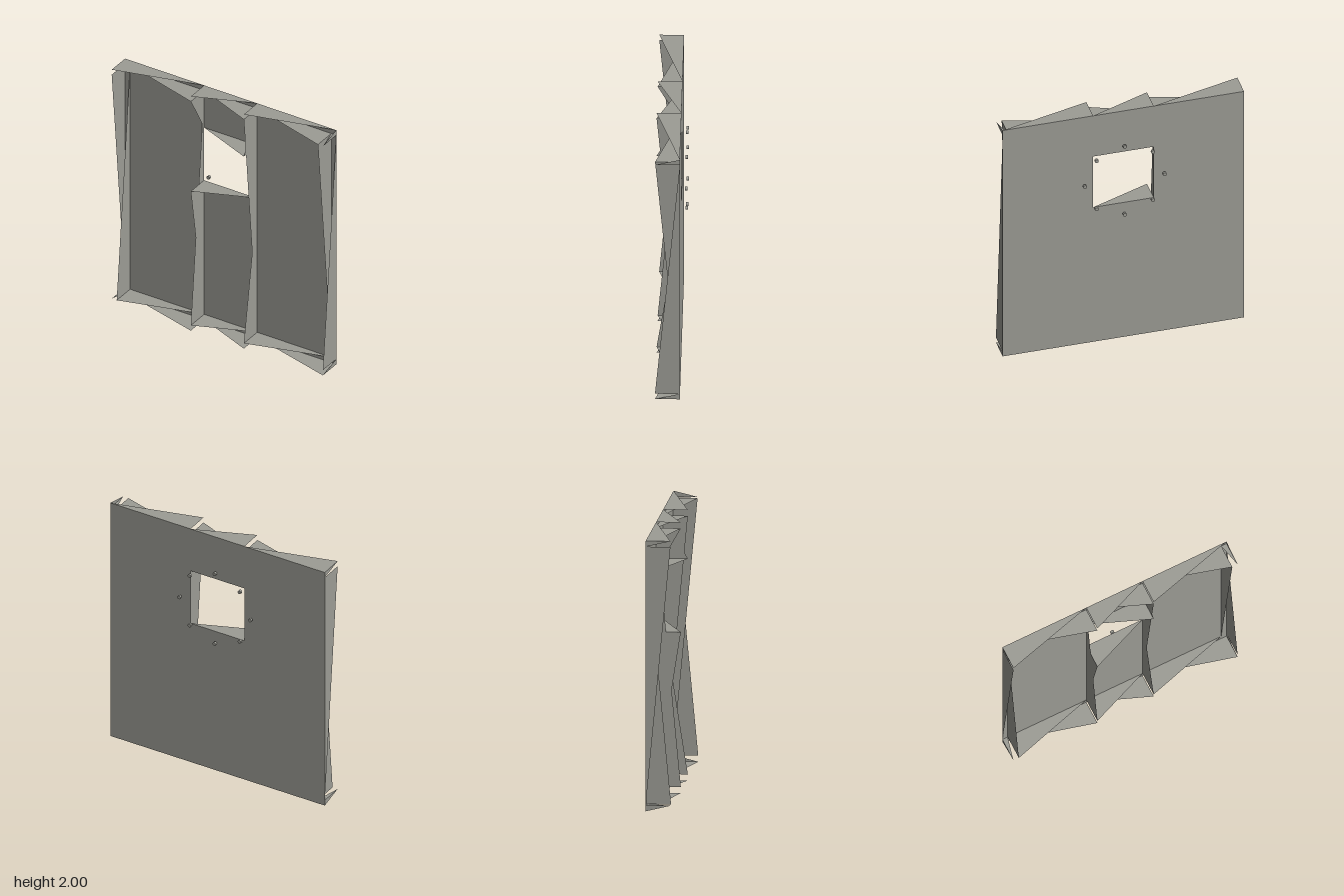
import * as THREE from 'three';

const BACK = -0.07, FRONT = 0.11;          // depth of the panel sheet and of the rib tips
const W = 0.908, WI = 0.865;               // outer and inner half widths of the rim
const T = 2, TI = 1.957, BI = 0.045;       // rim heights: top, inner top, inner bottom
const H = 0.228, HT = 1.64, HB = 1.19;     // window half width, top and bottom

export function createModel() {
  const grey = new THREE.MeshStandardMaterial({ color: 0x9c9c95, side: THREE.DoubleSide });
  grey.name = 'warmGrey';
  const model = new THREE.Group();
  model.name = 'windowPanel';

  const add = (parent, name, geometry) => {
    const mesh = new THREE.Mesh(geometry, grey);
    mesh.name = name;
    parent.add(mesh);
    return mesh;
  };

  // Tapered fins: each runs from a deep end [x, y] to a point on the sheet [x, y]
  const fins = (name, list) => {
    const points = [];
    for (const [x0, y0, x1, y1] of list) {
      points.push(x0, y0, BACK, x0, y0, FRONT, x1, y1, BACK);
    }
    const g = new THREE.BufferGeometry();
    g.setAttribute('position', new THREE.Float32BufferAttribute(points, 3));
    g.computeVertexNormals();
    add(model, name, g);
  };

  // Flat sheet with a square window
  const sheet = new THREE.Shape();
  sheet.moveTo(-W, 0).lineTo(W, 0).lineTo(W, T).lineTo(-W, T).closePath();
  const hole = new THREE.Path();
  hole.moveTo(-H, HB).lineTo(-H, HT).lineTo(H, HT).lineTo(H, HB).closePath();
  sheet.holes.push(hole);
  add(model, 'sheet', new THREE.ShapeGeometry(sheet)).position.z = BACK;

  // Top and bottom rims, an outer and an inner layer in three bays
  const outerBays = [[-W, -H], [-H, H], [H, W]];
  const innerBays = [[-WI, -H], [-H, H], [H, WI]];
  fins('topRim', [
    ...outerBays.map(([a, b]) => [a, T, b, T]),
    ...innerBays.map(([a, b]) => [b, TI, a, TI]),
    [W, TI, WI, TI],
  ]);
  fins('bottomRim', [
    ...outerBays.map(([a, b]) => [b, 0, a, 0]),
    ...innerBays.map(([a, b]) => [a, BI, b, BI]),
    [-W, BI, -WI, BI],
  ]);

  // Side rims with the short end caps of the top and bottom rims
  fins('rightRim', [
    [W, BI, W, TI], [WI, TI, WI, BI], [W, TI, W, T], [W, 0, W, BI],
  ]);
  fins('leftRim', [
    [-W, TI, -W, BI], [-WI, BI, -WI, TI], [-W, T, -W, TI], [-W, BI, -W, 0],
  ]);

  // Upright ribs on both sides of the window
  fins('leftRib', [[-H, BI, -H, TI], [-H, TI, -H, HT], [-H, HB, -H, BI]]);
  fins('rightRib', [[H, TI, H, BI], [H, HT, H, TI], [H, BI, H, HB]]);

  // Window head and sill
  fins('windowHead', [[H, HT, -H, HT]]);
  fins('windowSill', [[-H, HB, H, HB]]);

  // Small round studs behind the window
  const studs = new THREE.Group();
  studs.name = 'studs';
  model.add(studs);
  const stud = new THREE.CylinderGeometry(0.014, 0.014, 0.018, 16).rotateX(Math.PI / 2);
  const spots = [[0, 1.71], [0, 1.11]];
  for (const s of [-1, 1]) spots.push([s * 0.212, 1.2], [s * 0.212, 1.625], [s * 0.3, 1.412]);
  for (const [x, y] of spots) add(studs, 'stud', stud).position.set(x, y, -0.107);

  return model;
}
